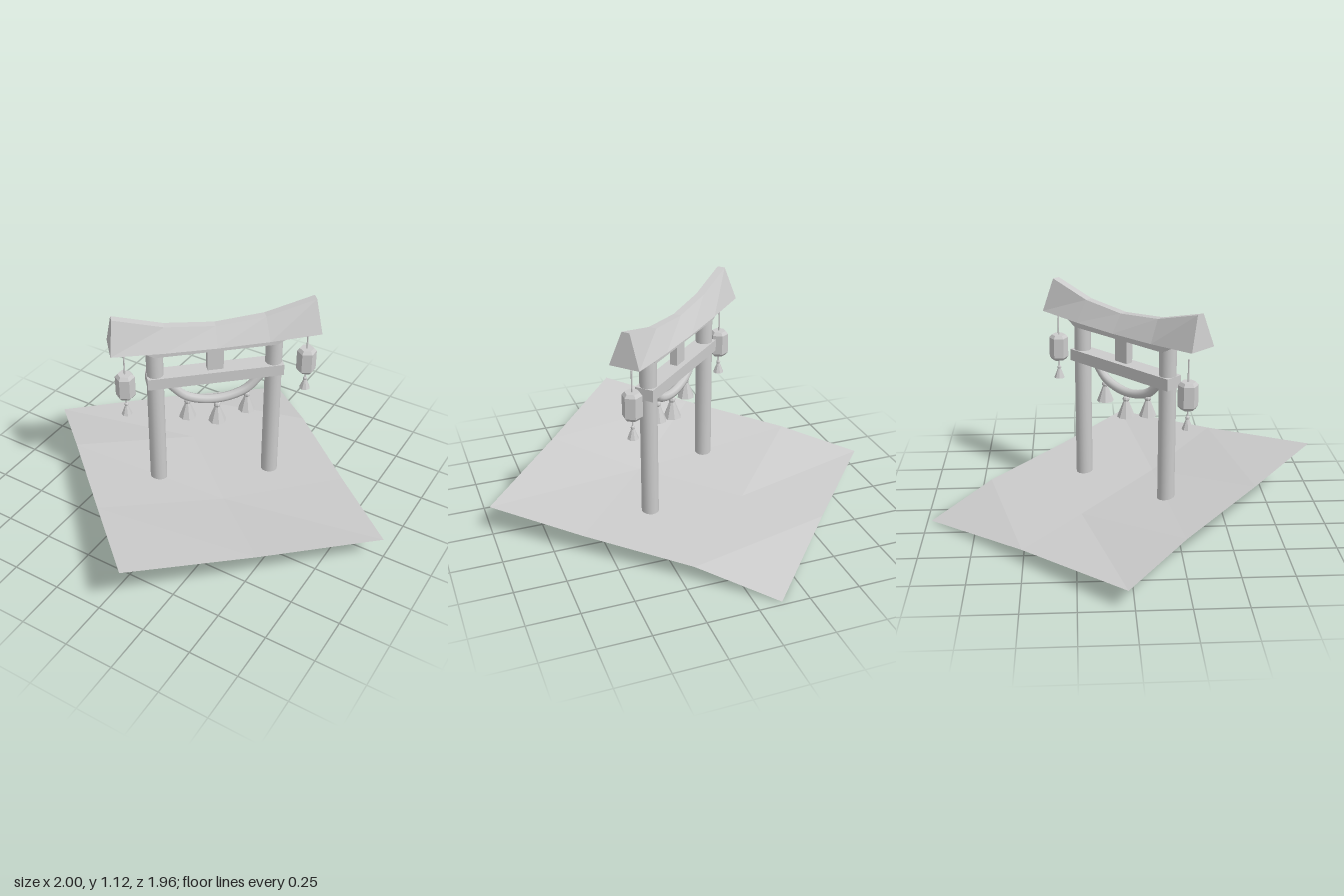
import * as THREE from 'three';

const grey = new THREE.MeshStandardMaterial({ color: 0xcccccc });
const flat = new THREE.MeshStandardMaterial({ color: 0xcccccc, flatShading: true });
const thin = new THREE.MeshStandardMaterial({ color: 0xcccccc, flatShading: true, side: THREE.DoubleSide });
const TURN = 0.744; // the gate stands diagonally

function add(parent, name, geometry, material, x = 0, y = 0, z = 0) {
  const mesh = new THREE.Mesh(geometry, material);
  mesh.name = name;
  mesh.position.set(x, y, z);
  parent.add(mesh);
  return mesh;
}

// Move every vertex of a geometry by a rule
function reshape(geometry, rule) {
  const p = geometry.attributes.position;
  const v = new THREE.Vector3();
  for (let i = 0; i < p.count; i++) {
    rule(v.fromBufferAttribute(p, i), i);
    p.setXYZ(i, v.x, v.y, v.z);
  }
  geometry.computeVertexNormals();
  return geometry;
}

// Sloping ground patch: 3 by 2 cells between four corners
function makeGround() {
  const along = [0, 0.28, 0.66, 1];
  const heights = [
    [0, 0.075, 0.1, 0.14],
    [0.065, 0.085, 0.12, 0.2],
    [0.1, 0.17, 0.22, 0.28],
  ];
  return reshape(new THREE.PlaneGeometry(1, 1, 3, 2), (v, i) => {
    const col = i % 4, row = Math.floor(i / 4);
    const t = along[col], s = row / 2;
    v.set(-0.12 + 1.12 * t - 0.88 * s, heights[row][col], -0.98 + 1.01 * t + 0.95 * s);
  });
}

// Roof: trapezoid section with an upswept ridge
function makeRoof() {
  return reshape(new THREE.BoxGeometry(2, 2, 2, 4, 1, 1), (v) => {
    const sweep = v.x * v.x;
    if (v.y > 0) v.set(v.x * 0.49, 1.035 + 0.09 * sweep, v.z * 0.02);
    else v.set(v.x * 0.51, 0.945 + 0.015 * sweep, v.z * 0.078);
  });
}

function addTassel(parent, name, x, y, z, size) {
  const tassel = new THREE.Group();
  tassel.name = name;
  tassel.position.set(x, y, z);
  tassel.scale.setScalar(size);
  add(tassel, 'tasselKnot', new THREE.SphereGeometry(0.018, 8, 6), flat, 0, 0.095, 0);
  add(tassel, 'tasselSkirt', new THREE.CylinderGeometry(0.013, 0.046, 0.085, 8), flat, 0, 0.0425, 0);
  parent.add(tassel);
}

function addLantern(parent, name, x, y, z) {
  const lantern = new THREE.Group();
  lantern.name = name;
  lantern.position.set(x, y, z);
  lantern.rotation.y = -TURN;
  const profile = [[0, -0.068], [0.036, -0.068], [0.049, -0.052], [0.049, 0.052], [0.036, 0.068], [0, 0.068]];
  add(lantern, 'lanternBody',
    new THREE.LatheGeometry(profile.map(([r, h]) => new THREE.Vector2(r, h)), 6), flat);
  add(lantern, 'lanternRod', new THREE.CylinderGeometry(0.004, 0.004, 0.115, 6), flat, 0, 0.12, 0);
  add(lantern, 'lanternCord', new THREE.CylinderGeometry(0.004, 0.004, 0.04, 6), flat, 0, -0.085, 0);
  addTassel(lantern, 'lanternTassel', 0, -0.17, 0, 0.6);
  parent.add(lantern);
}

export function createModel() {
  const model = new THREE.Group();
  model.name = 'gateOnGround';
  add(model, 'ground', makeGround(), thin);

  const gate = new THREE.Group();
  gate.name = 'gate';
  gate.position.x = 0.025;
  gate.rotation.y = TURN;
  model.add(gate);

  // Pillars
  for (const [side, name] of [[-1, 'rightPillar'], [1, 'leftPillar']]) {
    add(gate, name, new THREE.CylinderGeometry(0.042, 0.043, 0.86, 16), grey, side * 0.295, 0.5, 0);
  }

  // Beams and centre strut
  add(gate, 'tieBeam', new THREE.BoxGeometry(0.676, 0.06, 0.096), flat, 0, 0.755, 0);
  add(gate, 'centreStrut', new THREE.BoxGeometry(0.08, 0.16, 0.04), flat, 0, 0.855, 0);
  add(gate, 'topBeam', reshape(new THREE.BoxGeometry(2, 0.04, 0.1), (v) => {
    v.x *= v.y > 0 ? 0.37 : 0.3;
  }), flat, 0, 0.931, 0);
  add(gate, 'roof', makeRoof(), flat);

  // Hanging rope with three tassels
  const curve = new THREE.CatmullRomCurve3(
    [[-0.23, 0.735], [-0.145, 0.65], [0, 0.615], [0.145, 0.65], [0.23, 0.735]]
      .map(([x, y]) => new THREE.Vector3(x, y, 0.025)));
  add(gate, 'rope', new THREE.TubeGeometry(curve, 20, 0.023, 8), grey);
  addTassel(gate, 'centreTassel', 0.008, 0.483, 0.026, 1);
  for (const side of [-1, 1]) {
    addTassel(gate, side < 0 ? 'rightTassel' : 'leftTassel', side * 0.15 + 0.008, 0.53, 0.026, 0.95);
  }

  // Lanterns hanging beyond the pillars
  addLantern(gate, 'rightLantern', -0.44, 0.725, -0.017);
  addLantern(gate, 'leftLantern', 0.467, 0.76, -0.012);
  return model;
}
